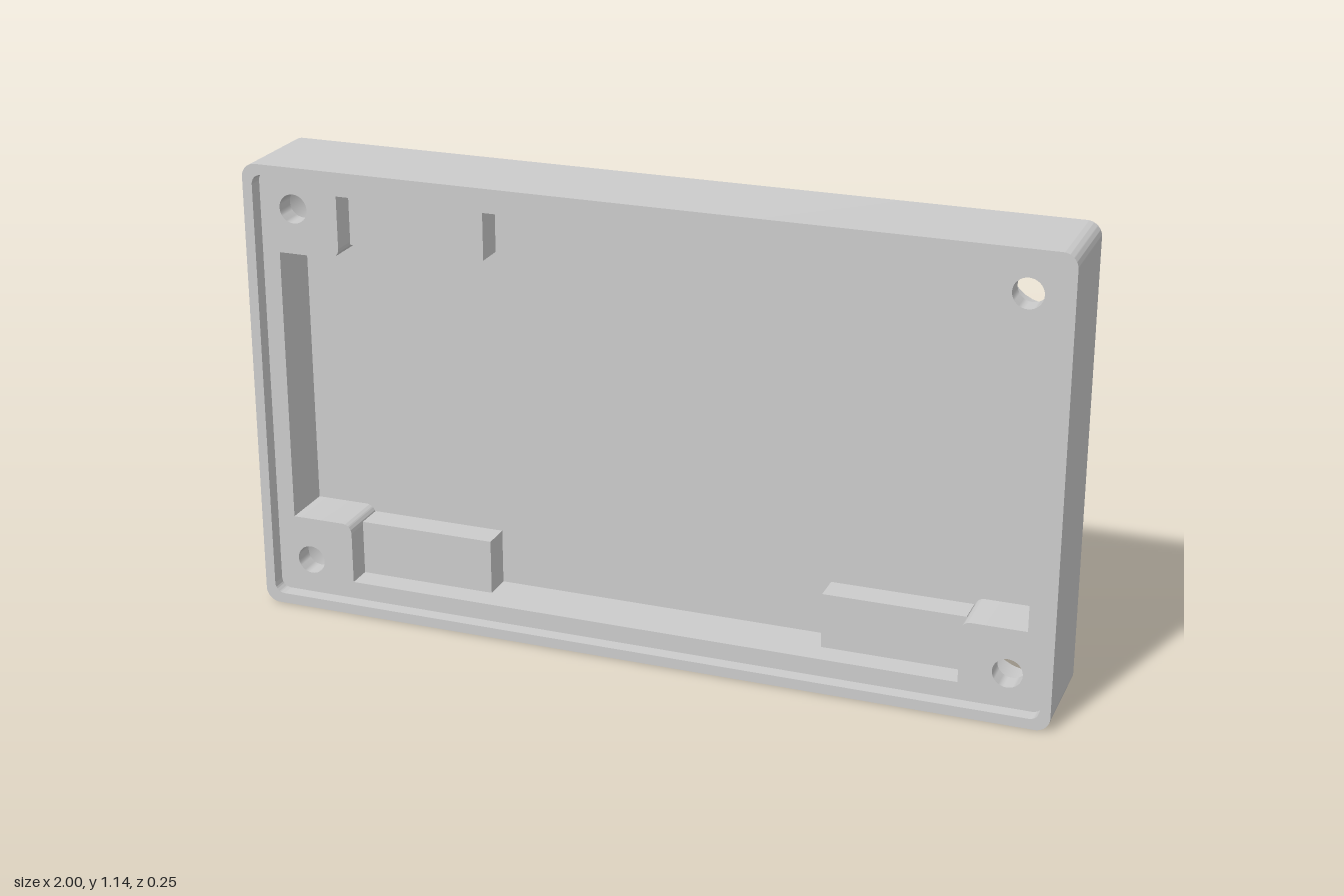
import * as THREE from 'three';
import { toCreasedNormals } from 'three/addons/utils/BufferGeometryUtils.js';

const H = 1.14, CY = H / 2;
const BACK = -0.123, FLOOR = -0.048, LEDGE = 0.087, FRONT = 0.123;
const HOLE_X = 0.888, HOLE_Y = 0.457; // screw centres, measured from the middle
const HOLE_R = 0.036, HEAD_R = 0.091;

const material = new THREE.MeshStandardMaterial({ color: 0xcccccc });

// Rounded rectangle centred on the origin
function roundedRect(hw, hh, r) {
  const s = new THREE.Shape();
  s.moveTo(-hw + r, -hh);
  s.absarc(hw - r, -hh + r, r, -Math.PI / 2, 0);
  s.absarc(hw - r, hh - r, r, 0, Math.PI / 2);
  s.absarc(-hw + r, hh - r, r, Math.PI / 2, Math.PI);
  s.absarc(-hw + r, -hh + r, r, Math.PI, Math.PI * 1.5);
  return s;
}

// Cavity outline: a rectangle whose corners are cut in by the screw bosses
function cavityOutline() {
  const hw = 0.93, hh = 0.5, bx = 0.773, by = 0.345, r = 0.025;
  const s = new THREE.Shape();
  s.moveTo(hw, -by);
  s.lineTo(hw, by);
  s.absarc(bx + r, by + r, r, -Math.PI / 2, -Math.PI, true);
  s.lineTo(bx, hh);
  s.lineTo(-bx, hh);
  s.absarc(-bx - r, by + r, r, 0, -Math.PI / 2, true);
  s.lineTo(-hw, by);
  s.lineTo(-hw, -by);
  s.absarc(-bx - r, -by - r, r, Math.PI / 2, 0, true);
  s.lineTo(-bx, -hh);
  s.lineTo(bx, -hh);
  s.absarc(bx + r, -by - r, r, Math.PI, Math.PI / 2, true);
  s.closePath();
  return s;
}

// Calls fn with the signs of each of the four corners
function corners(fn) {
  for (const sx of [-1, 1]) for (const sy of [-1, 1]) fn(sx, sy);
}

function screwHoles(r) {
  const holes = [];
  corners((sx, sy) => holes.push(new THREE.Path().absarc(sx * HOLE_X, sy * HOLE_Y, r, 0, Math.PI * 2)));
  return holes;
}

// Flat face at depth z with openings
function face(outline, z, holes = []) {
  const shape = outline.clone();
  shape.holes.push(...holes);
  return new THREE.ShapeGeometry(shape, 16).translate(0, 0, z);
}

// Wall following an outline between two depths, facing outward or inward
function wall(outline, z0, z1, inward) {
  const pts = outline.getPoints(16).filter((p, i, all) => p.distanceTo(all[(i + 1) % all.length]) > 1e-4);
  if (inward) pts.reverse();
  const pos = [];
  pts.forEach((a, i) => {
    const b = pts[(i + 1) % pts.length];
    pos.push(a.x, a.y, z0, b.x, b.y, z0, b.x, b.y, z1, a.x, a.y, z0, b.x, b.y, z1, a.x, a.y, z1);
  });
  const geo = new THREE.BufferGeometry();
  geo.setAttribute('position', new THREE.Float32BufferAttribute(pos, 3));
  return toCreasedNormals(geo, 0.6);
}

export function createModel() {
  const model = new THREE.Group();
  model.name = 'enclosureHalf';
  const add = (name, geo, x = 0, y = 0, z = 0) => {
    const mesh = new THREE.Mesh(geo, material);
    mesh.name = name;
    mesh.position.set(x, CY + y, z);
    model.add(mesh);
  };

  const outer = roundedRect(1, CY, 0.035);
  const lip = roundedRect(0.975, CY - 0.026, 0.025);
  const cavity = cavityOutline();

  // Outer shell
  add('outerWall', wall(outer, BACK, FRONT, false));
  add('backFace', face(outer, -BACK, screwHoles(HEAD_R)).rotateY(Math.PI));

  // Rim, stepped ledge and cavity
  add('rimFace', face(outer, FRONT, [lip]));
  add('rimInnerWall', wall(lip, LEDGE, FRONT, true));
  add('ledgeAndBossFace', face(lip, LEDGE, [cavity, ...screwHoles(HOLE_R)]));
  add('cavityWall', wall(cavity, FLOOR, LEDGE, true));
  add('cavityFloor', face(cavity, FLOOR));

  // Countersunk screw holes: straight bore, cone, wide head recess
  const profile = [[HOLE_R, LEDGE], [HOLE_R, 0.035], [HEAD_R, -0.023], [HEAD_R, BACK]];
  const bore = toCreasedNormals(
    new THREE.LatheGeometry(profile.map(([r, z]) => new THREE.Vector2(r, z)), 32).rotateX(Math.PI / 2), 0.6);
  corners((sx, sy) => add('screwHole', bore, sx * HOLE_X, sy * HOLE_Y));

  // Support blocks on the cavity floor beside each boss
  const depth = 0.072;
  const block = new THREE.BoxGeometry(0.348, 0.138, depth);
  corners((sx, sy) => add('supportBlock', block, sx * 0.599, sy * 0.431, FLOOR + depth / 2));

  return model;
}
